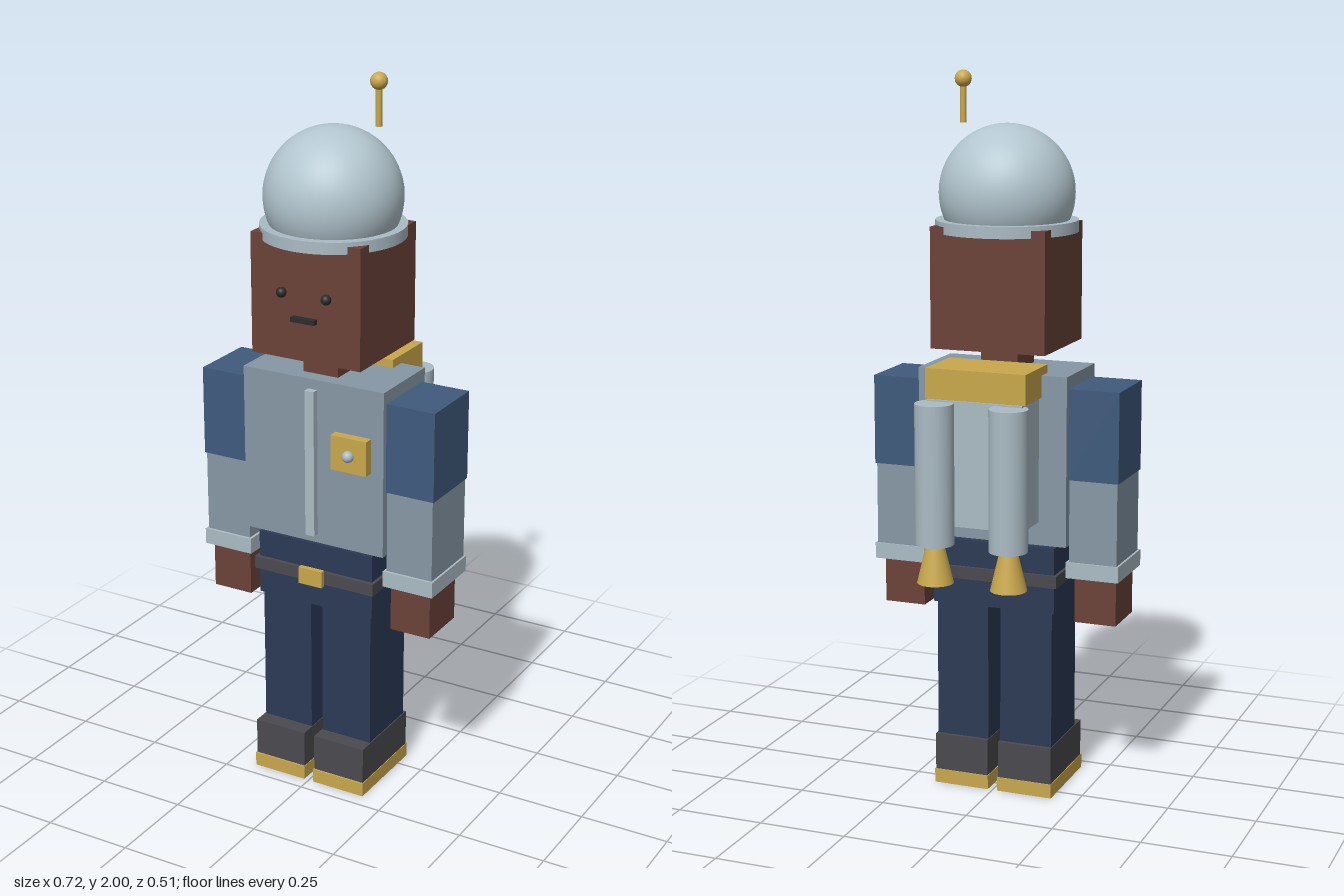
import * as THREE from 'three';

const mat = (name, color) => {
  const m = new THREE.MeshStandardMaterial({ color });
  m.name = name;
  return m;
};

export function createModel() {
  const root = new THREE.Group();
  root.name = 'spaceExplorer';

  const skin = mat('brown skin', 0x6b4238);
  const suit = mat('grey blue suit', 0x8698a5);
  const blue = mat('blue sleeve', 0x3f5a7d);
  const navy = mat('navy trousers', 0x2b3a55);
  const gold = mat('gold', 0xc9a84c);
  const trim = mat('pale metal', 0xabbbc4);
  const glass = mat('helmet glass', 0xb3c6cf);
  const boot = mat('boot grey', 0x4a4a4f);
  const dark = mat('dark detail', 0x2b2b30);

  const add = (name, geo, material, x, y, z) => {
    const mesh = new THREE.Mesh(geo, material);
    mesh.name = name;
    mesh.position.set(x, y, z);
    root.add(mesh);
    return mesh;
  };
  // Box given by its limits on each axis
  const box = (name, material, x0, x1, y0, y1, z0, z1) =>
    add(name, new THREE.BoxGeometry(x1 - x0, y1 - y0, z1 - z0), material,
      (x0 + x1) / 2, (y0 + y1) / 2, (z0 + z1) / 2);
  // Box on the given side, with limits measured outward from the centre
  const sideBox = (side, name, material, x0, x1, ...rest) =>
    box(name, material, Math.min(side * x0, side * x1), Math.max(side * x0, side * x1), ...rest);
  const tube = (name, material, rTop, rBottom, x, y0, y1, z, segments = 32) =>
    add(name, new THREE.CylinderGeometry(rTop, rBottom, y1 - y0, segments), material, x, (y0 + y1) / 2, z);
  const ball = (name, material, r, x, y, z) =>
    add(name, new THREE.SphereGeometry(r, 24, 16), material, x, y, z);

  // Head, dome helmet and antenna
  box('head', skin, -0.164, 0.164, 1.26, 1.59, -0.09, 0.208);
  box('neck', skin, -0.053, 0.053, 1.2, 1.26, 0, 0.13);
  add('helmetDome', new THREE.SphereGeometry(0.185, 48, 32, 0, Math.PI * 2, 0, 2.1), glass, 0, 1.674, 0.06);
  tube('helmetRing', trim, 0.195, 0.195, 0, 1.57, 1.602, 0.06, 48);
  tube('antennaRod', gold, 0.009, 0.009, 0.11, 1.86, 1.965, 0.018, 12);
  ball('antennaBall', gold, 0.023, 0.11, 1.977, 0.018);
  box('mouth', dark, -0.036, 0.036, 1.369, 1.382, 0.208, 0.225);

  // Torso with zip and chest badge
  box('torso', suit, -0.215, 0.215, 0.73, 1.2, -0.055, 0.173);
  box('zip', trim, -0.014, 0.014, 0.755, 1.172, 0.173, 0.192);
  box('chestBadge', gold, 0.07, 0.178, 0.967, 1.065, 0.173, 0.2);
  ball('badgeButton', trim, 0.016, 0.125, 1.015, 0.204);

  // Hips and belt
  box('hips', navy, -0.178, 0.178, 0.535, 0.72, -0.045, 0.165);
  box('belt', boot, -0.187, 0.187, 0.61, 0.645, -0.053, 0.178);
  box('beltBuckle', gold, -0.036, 0.036, 0.605, 0.653, 0.178, 0.193);

  // Backpack
  box('backpack', trim, -0.136, 0.136, 0.795, 1.14, -0.183, -0.055);
  box('backpackCap', gold, -0.143, 0.143, 1.14, 1.223, -0.178, -0.008);

  // Paired parts
  for (const side of [-1, 1]) {
    ball('eye', dark, 0.014, side * 0.067, 1.442, 0.216);

    sideBox(side, 'upperArm', blue, 0.215, 0.357, 0.915, 1.165, -0.038, 0.158);
    sideBox(side, 'lowerArm', suit, 0.217, 0.353, 0.685, 0.915, -0.034, 0.154);
    sideBox(side, 'cuff', trim, 0.209, 0.359, 0.64, 0.685, -0.038, 0.162);
    sideBox(side, 'hand', skin, 0.224, 0.343, 0.507, 0.64, -0.005, 0.142);

    sideBox(side, 'leg', navy, 0.018, 0.17, 0.145, 0.535, -0.038, 0.158);
    sideBox(side, 'boot', boot, 0.016, 0.173, 0.04, 0.145, -0.05, 0.203);
    sideBox(side, 'sole', gold, 0.014, 0.175, 0, 0.04, -0.053, 0.208);

    tube('thrusterTank', trim, 0.053, 0.053, side * 0.106, 0.748, 1.135, -0.205);
    tube('thrusterNozzle', gold, 0.024, 0.05, side * 0.106, 0.64, 0.748, -0.203);
  }
  return root;
}
